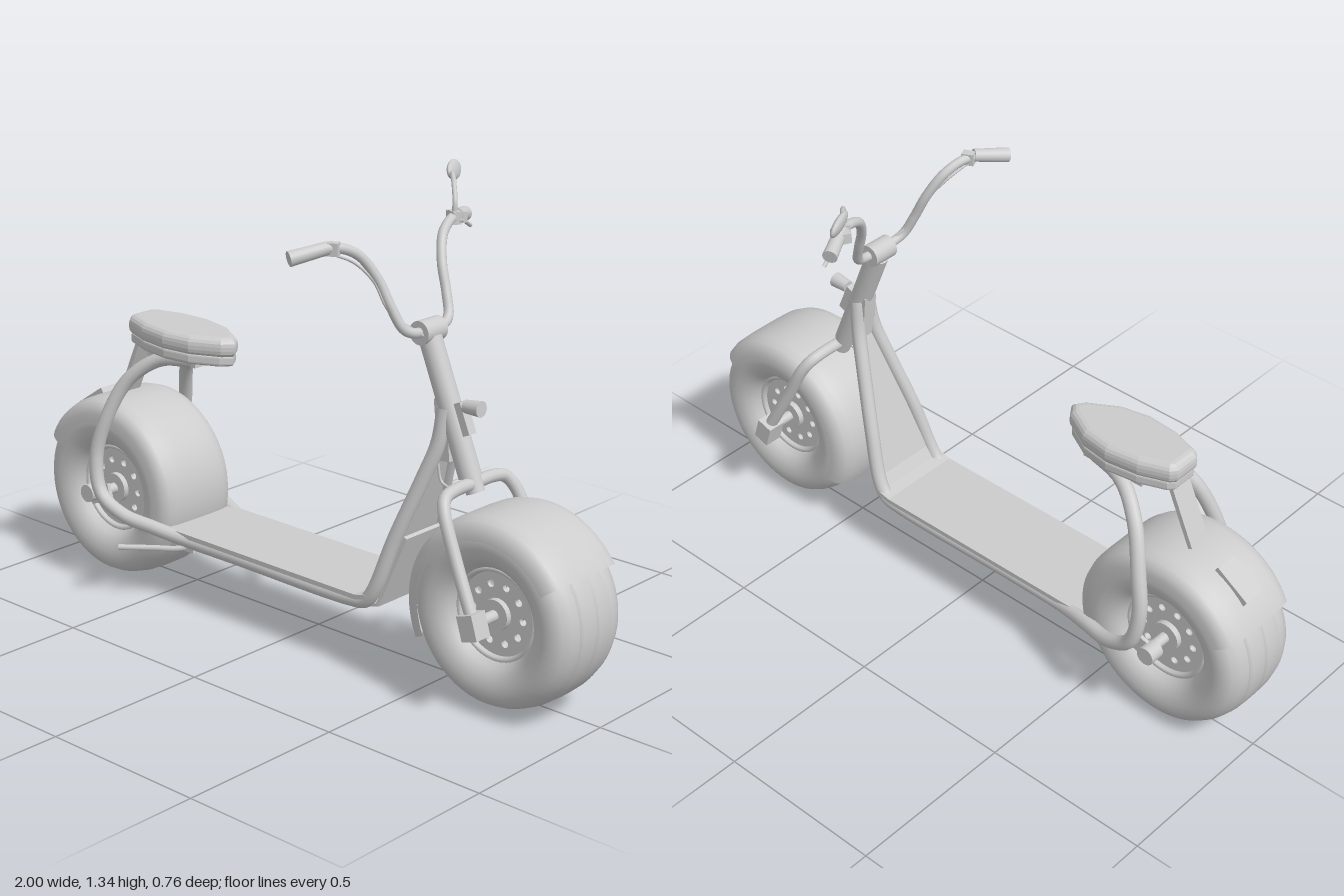
import * as THREE from 'three';

const mat = new THREE.MeshStandardMaterial({ color: 0xcccccc, side: THREE.DoubleSide });
const V = (p) => new THREE.Vector3(...p);

function add(parent, name, geo, pos = [0, 0, 0], rot = [0, 0, 0]) {
  const m = new THREE.Mesh(geo, mat);
  m.name = name;
  m.position.set(...pos);
  m.rotation.set(...rot);
  parent.add(m);
  return m;
}

// Smooth tube through points
function tube(parent, name, pts, r, sides = 12) {
  const curve = new THREE.CatmullRomCurve3(pts.map(V), false, 'centripetal');
  return add(parent, name, new THREE.TubeGeometry(curve, pts.length * 6, r, sides));
}

// Straight round bar from a to b
function bar(parent, name, a, b, r, r2 = r) {
  const d = V(b).sub(V(a));
  const m = add(parent, name, new THREE.CylinderGeometry(r2, r, d.length(), 20));
  m.position.copy(V(a)).addScaledVector(d, 0.5);
  m.quaternion.setFromUnitVectors(new THREE.Vector3(0, 1, 0), d.normalize());
  return m;
}

// Revolve [radius, width] pairs about the z axis, mirrored across the middle; angles in degrees
function revolve(half, from = 0, to = 360, seg = 56) {
  const pts = [...half, ...half.slice().reverse().map(([r, w]) => [r, -w])]
    .map(([r, w]) => new THREE.Vector2(r, w));
  const rad = Math.PI / 180;
  const g = new THREE.LatheGeometry(pts, seg, (from + 90) * rad, (to - from) * rad);
  return g.rotateX(Math.PI / 2);
}

function wheel(parent, name, x, y, scale) {
  const g = new THREE.Group();
  g.name = name;
  g.position.set(x, y, 0);
  g.scale.set(scale, scale, 1);
  parent.add(g);
  // Fat tyre with three shallow grooves
  add(g, 'tyre', revolve([
    [0.13, -0.085], [0.145, -0.108], [0.165, -0.125], [0.195, -0.136], [0.225, -0.134], [0.248, -0.12],
    [0.261, -0.095], [0.267, -0.07], [0.261, -0.066], [0.261, -0.06], [0.27, -0.056],
    [0.272, -0.01], [0.265, -0.007], [0.265, -0.001]]));
  add(g, 'rim', revolve([[0.115, -0.06], [0.122, -0.088], [0.135, -0.09], [0.132, -0.07], [0.118, -0.045]]));
  // Perforated discs on both faces
  const disc = new THREE.Shape().absarc(0, 0, 0.122, 0, Math.PI * 2);
  for (let i = 0; i < 10; i++) {
    const a = (i / 10) * Math.PI * 2;
    disc.holes.push(new THREE.Path().absarc(Math.cos(a) * 0.085, Math.sin(a) * 0.085, 0.011, 0, Math.PI * 2, true));
  }
  const discGeo = new THREE.ExtrudeGeometry(disc, { depth: 0.012, bevelEnabled: false, curveSegments: 20 });
  for (const w of [-0.078, 0.066]) add(g, 'wheelDisc', discGeo, [0, 0, w]);
  bar(g, 'hub', [0, 0, -0.095], [0, 0, 0.095], 0.045);
  bar(g, 'axle', [0, 0, -0.19], [0, 0, 0.19], 0.016);
}

// Folded plate following [x, y, halfWidth] stations
function foldedPlate(stations, t) {
  const pos = [];
  const ring = stations.map(([x, y, w], i) => {
    const a = stations[Math.max(i - 1, 0)], b = stations[Math.min(i + 1, stations.length - 1)];
    const l = Math.hypot(b[0] - a[0], b[1] - a[1]);
    const nx = (b[1] - a[1]) / l * t, ny = -(b[0] - a[0]) / l * t;
    return [[x, y, w], [x, y, -w], [x + nx, y + ny, -w], [x + nx, y + ny, w]];
  });
  const quad = (a, b, c, d) => [a, b, c, a, c, d].forEach((p) => pos.push(...p));
  for (let i = 0; i + 1 < ring.length; i++) for (let k = 0; k < 4; k++) {
    const n = (k + 1) % 4;
    quad(ring[i][k], ring[i + 1][k], ring[i + 1][n], ring[i][n]);
  }
  const e = ring[ring.length - 1];
  quad(...ring[0]);
  quad(e[3], e[2], e[1], e[0]);
  const g = new THREE.BufferGeometry();
  g.setAttribute('position', new THREE.Float32BufferAttribute(pos, 3));
  g.computeVertexNormals();
  return g;
}

// Leaf-shaped slab lying flat, for the seat
function seatSlab(k, depth, bevel) {
  const side = [[0.2, 0], [0.175, 0.035], [0.09, 0.083], [0, 0.099], [-0.1, 0.088], [-0.185, 0.058], [-0.2, 0.04]];
  const pts = [...side, ...side.slice(1).reverse().map(([x, z]) => [x, -z])];
  const s = new THREE.Shape(pts.map(([x, z]) => new THREE.Vector2(x * k, z * k)));
  return new THREE.ExtrudeGeometry(s, {
    depth: depth - 2 * bevel, bevelThickness: bevel, bevelSize: bevel, bevelOffset: -bevel, bevelSegments: 4,
  }).rotateX(-Math.PI / 2).translate(0, bevel, 0);
}

export function createModel() {
  const model = new THREE.Group();
  model.name = 'scooter';
  const body = new THREE.Group();
  body.name = 'body';
  body.position.z = 0.027;
  model.add(body);

  // Wheels and mudguards
  wheel(body, 'rearWheel', -0.728, 0.275, 1);
  wheel(body, 'frontWheel', 0.735, 0.28, 0.975);
  const guard = (inner) => [[inner, -0.142], [0.235, -0.141], [0.255, -0.135], [0.27, -0.12], [0.278, -0.095], [0.28, -0.05]];
  add(body, 'rearMudguard', revolve(guard(0.21), -18, 152, 36), [-0.728, 0.28, 0]);
  add(body, 'frontMudguard', revolve(guard(0.222), 34, 205, 36), [0.735, 0.272, 0]);
  add(body, 'tailLight', new THREE.BoxGeometry(0.12, 0.03, 0.07), [-0.885, 0.508, 0], [0, 0, 0.58]);

  // Frame rails, forks and handlebar, mirrored side to side
  for (const s of [-1, 1]) {
    tube(body, 'frameRail', [
      [-0.42, 0.728, 0.05], [-0.54, 0.712, 0.075], [-0.625, 0.645, 0.12], [-0.68, 0.52, 0.163], [-0.705, 0.4, 0.183],
      [-0.68, 0.295, 0.19], [-0.6, 0.245, 0.18], [-0.5, 0.22, 0.148], [-0.39, 0.2, 0.118], [-0.2, 0.197, 0.112],
      [0.25, 0.197, 0.112], [0.305, 0.207, 0.112], [0.335, 0.25, 0.11], [0.385, 0.4, 0.088], [0.45, 0.58, 0.05],
      [0.483, 0.68, 0.03], [0.495, 0.78, 0.02]].map(([x, y, z]) => [x, y, z * s]), 0.021);
    add(body, 'rearDropout', new THREE.BoxGeometry(0.09, 0.055, 0.012), [-0.71, 0.28, 0.165 * s], [0, 0, 0.3]);
    bar(body, 'rearAxleNut', [-0.74, 0.28, 0.15 * s], [-0.74, 0.28, 0.195 * s], 0.027);

    tube(body, 'forkLeg', [
      [0.583, 0.585, 0], [0.583, 0.585, 0.08], [0.588, 0.575, 0.125], [0.605, 0.545, 0.147],
      [0.66, 0.43, 0.163], [0.735, 0.285, 0.18]].map(([x, y, z]) => [x, y, z * s]), 0.018);
    add(body, 'forkEnd', new THREE.BoxGeometry(0.052, 0.07, 0.056), [0.735, 0.277, 0.18 * s], [0, 0, 0.3]);

    tube(body, 'handlebar', [
      [0.42, 0.975, 0], [0.42, 0.976, 0.06], [0.41, 0.993, 0.092], [0.385, 1.05, 0.112], [0.355, 1.12, 0.128],
      [0.325, 1.185, 0.165], [0.307, 1.213, 0.215], [0.292, 1.219, 0.265]].map(([x, y, z]) => [x, y, z * s]), 0.014);
    bar(body, 'grip', [0.295, 1.22, 0.26 * s], [0.247, 1.2, 0.352 * s], 0.018, 0.021);
    add(body, 'gripClamp', new THREE.BoxGeometry(0.035, 0.035, 0.025), [0.3, 1.216, 0.245 * s], [0, 0.45 * s, 0]);
  }

  // Deck, leg panel and battery box
  add(body, 'deck', foldedPlate([[-0.46, 0.225, 0.132], [0.28, 0.222, 0.132], [0.315, 0.23, 0.132], [0.335, 0.265, 0.125],
    [0.39, 0.42, 0.085], [0.485, 0.69, 0.025]], 0.014));
  add(body, 'batteryBox', new THREE.BoxGeometry(0.74, 0.036, 0.2), [-0.08, 0.195, 0]);
  add(body, 'lowerPanel', foldedPlate([[0.28, 0.19, 0.1], [0.33, 0.2, 0.1], [0.41, 0.41, 0.08]], 0.012));

  // Side stand
  tube(body, 'sideStand', [[-0.38, 0.18, 0.1], [-0.42, 0.17, 0.13], [-0.48, 0.168, 0.17], [-0.56, 0.168, 0.235]], 0.009, 8);
  add(body, 'standBracket', new THREE.BoxGeometry(0.09, 0.02, 0.04), [-0.41, 0.175, 0.1]);

  // Seat and its supports
  add(body, 'seatBase', seatSlab(0.96, 0.035, 0.01), [-0.5, 0.727, 0], [0, 0, -0.03]);
  add(body, 'seatCushion', seatSlab(1, 0.062, 0.025), [-0.5, 0.75, 0], [0, 0, -0.03]);
  add(body, 'seatBracket', new THREE.BoxGeometry(0.2, 0.02, 0.13), [-0.5, 0.722, 0]);
  add(body, 'seatStrut', new THREE.BoxGeometry(0.014, 0.19, 0.07), [-0.71, 0.65, 0], [0, 0, -0.43]);

  // Steering column
  bar(body, 'headTube', [0.57, 0.6, 0], [0.425, 0.955, 0], 0.032);
  bar(body, 'steererEnd', [0.59, 0.56, 0], [0.56, 0.63, 0], 0.026);
  bar(body, 'handlebarClamp', [0.42, 0.972, -0.04], [0.42, 0.972, 0.04], 0.033);
  add(body, 'neckGusset', new THREE.BoxGeometry(0.04, 0.17, 0.045), [0.488, 0.715, 0], [0, 0, 0.1]);

  // Headlight
  add(body, 'headlightBracket', new THREE.BoxGeometry(0.03, 0.09, 0.03), [0.545, 0.755, 0], [0, 0, 0.4]);
  bar(body, 'headlight', [0.55, 0.79, 0], [0.603, 0.793, 0], 0.018, 0.022);

  // Brake lever, switch, cables and mirror
  tube(body, 'brakeLever', [[0.318, 1.212, -0.24], [0.3, 1.2, -0.28], [0.275, 1.188, -0.32], [0.262, 1.168, -0.36]], 0.006, 8);
  add(body, 'switchHousing', new THREE.BoxGeometry(0.045, 0.03, 0.045), [0.285, 1.212, -0.272], [0, -0.45, 0]);
  tube(body, 'barCable', [[0.3, 1.2, 0.24], [0.318, 1.17, 0.18], [0.35, 1.12, 0.142], [0.385, 1.04, 0.118], [0.44, 0.96, 0.03]], 0.004, 6);
  tube(body, 'neckCable', [[0.475, 0.62, 0.02], [0.49, 0.57, 0.02], [0.54, 0.56, 0.02], [0.59, 0.575, 0.01]], 0.004, 6);
  tube(body, 'mirrorStem', [[0.302, 1.22, -0.24], [0.3, 1.26, -0.245], [0.28, 1.295, -0.265], [0.25, 1.315, -0.295],
    [0.218, 1.318, -0.325]], 0.007, 8);
  const mirror = add(body, 'mirror', new THREE.SphereGeometry(1, 20, 12), [0.208, 1.318, -0.35], [0, 0.42, 0.25]);
  mirror.scale.set(0.013, 0.028, 0.055);

  return model;
}
